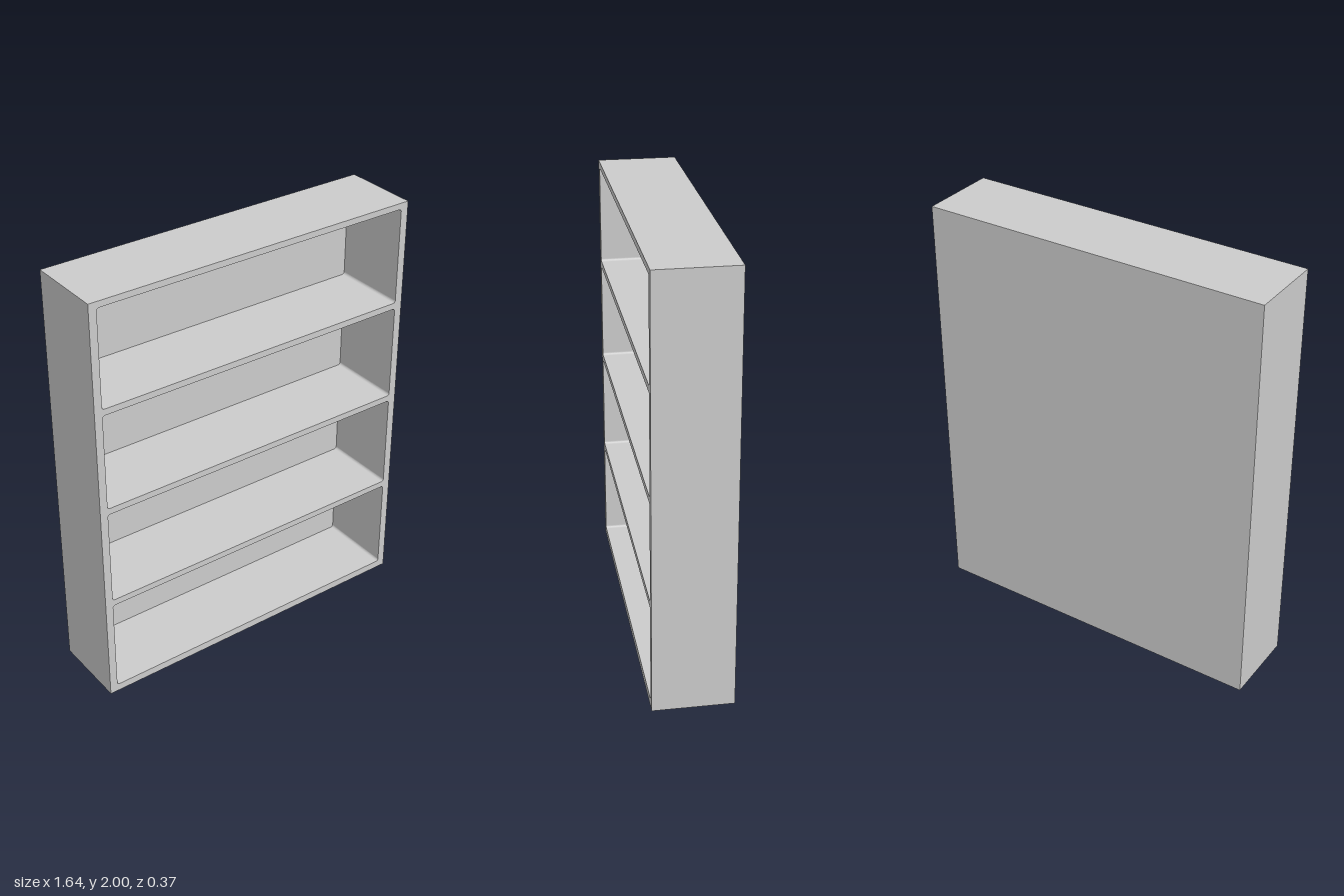
import * as THREE from 'three';

const W = 1.637, H = 2, D = 0.366;       // outer size
const BACK = 0.004;                      // thin back sheet
const OPEN_W = 1.563, OPEN_H = 0.461;    // one compartment
const FIRST_Y = 0.036, PITCH = 0.4913, RADIUS = 0.012;

// Rounded rectangle from its lower left corner
function roundedRect(x, y, w, h, r) {
  const p = new THREE.Path();
  p.absarc(x + w - r, y + r, r, -Math.PI / 2, 0);
  p.absarc(x + w - r, y + h - r, r, 0, Math.PI / 2);
  p.absarc(x + r, y + h - r, r, Math.PI / 2, Math.PI);
  p.absarc(x + r, y + r, r, Math.PI, Math.PI * 1.5);
  p.closePath();
  return p;
}

export function createModel() {
  const group = new THREE.Group();
  group.name = 'bookcase';
  const material = new THREE.MeshStandardMaterial({ color: 0xcccccc });

  // Frame and shelves: a slab with four openings
  const outline = new THREE.Shape([
    new THREE.Vector2(-W / 2, 0), new THREE.Vector2(W / 2, 0),
    new THREE.Vector2(W / 2, H), new THREE.Vector2(-W / 2, H),
  ]);
  for (let i = 0; i < 4; i++) {
    outline.holes.push(roundedRect(-OPEN_W / 2, FIRST_Y + i * PITCH, OPEN_W, OPEN_H, RADIUS));
  }
  const frame = new THREE.Mesh(
    new THREE.ExtrudeGeometry(outline, { depth: D - BACK, bevelEnabled: false, curveSegments: 6 }),
    material
  );
  frame.name = 'frameWithShelves';
  frame.position.z = -D / 2 + BACK;
  group.add(frame);

  // Back panel closing the compartments
  const back = new THREE.Mesh(new THREE.BoxGeometry(W, H, BACK), material);
  back.name = 'backPanel';
  back.position.set(0, H / 2, -D / 2 + BACK / 2);
  group.add(back);

  return group;
}
